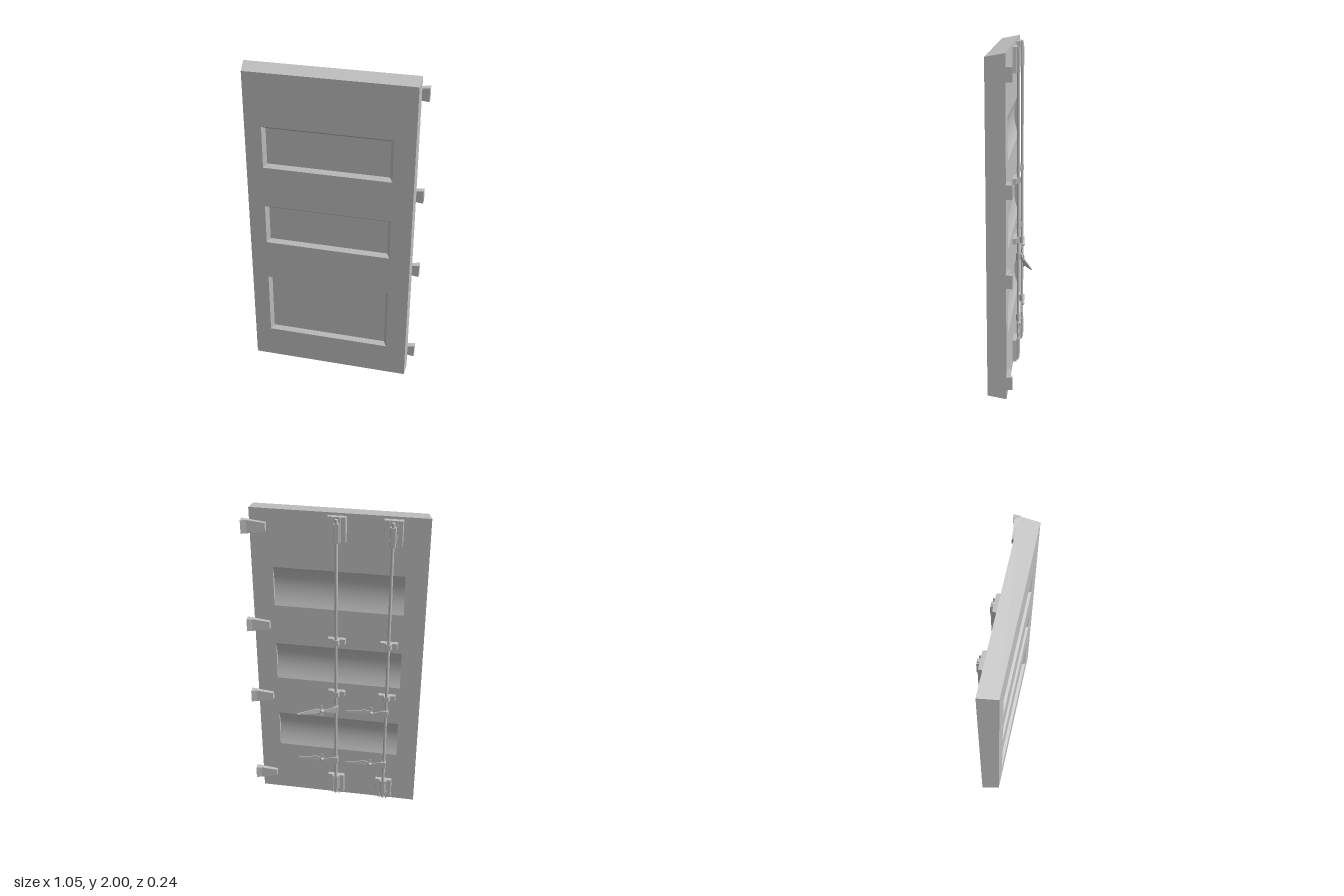
import * as THREE from 'three';

const steel = new THREE.MeshStandardMaterial({ color: 0xbfbfbf, side: THREE.DoubleSide });
steel.name = 'grey steel';

const FRONT = 0.116, BACK = 0.005;

function add(parent, name, geometry) {
  const mesh = new THREE.Mesh(geometry, steel);
  mesh.name = name;
  parent.add(mesh);
  return mesh;
}

// Corners of a rectangle at depth z, counter-clockwise seen from +z
const rect = (x0, x1, y0, y1, z) => [[x0, y0, z], [x1, y0, z], [x1, y1, z], [x0, y1, z]];

// Four flat faces joining rectangle a to rectangle b
function loft(a, b) {
  const pos = [];
  for (let i = 0; i < 4; i++) {
    const j = (i + 1) % 4;
    pos.push(...a[i], ...a[j], ...b[j], ...a[i], ...b[j], ...b[i]);
  }
  const g = new THREE.BufferGeometry();
  g.setAttribute('position', new THREE.Float32BufferAttribute(pos, 3));
  g.computeVertexNormals();
  return g;
}

const toShape = (pts) => new THREE.Shape(pts.map(([x, y]) => new THREE.Vector2(x, y)));

// Flat sheet with rectangular openings
function sheet(outer, holes, z) {
  const shape = toShape(outer);
  holes.forEach((h) => shape.holes.push(toShape(h)));
  return new THREE.ShapeGeometry(shape).translate(0, 0, z);
}

// Turn a sheet round so that its face points to -z
function flip(g) {
  const idx = g.index.array;
  for (let i = 0; i < idx.length; i += 3) [idx[i], idx[i + 1]] = [idx[i + 1], idx[i]];
  g.computeVertexNormals();
  return g;
}

// Extrude an (x, z) outline along y, from y0 up to y1
function upright(pts, y0, y1) {
  return new THREE.ExtrudeGeometry(toShape(pts), { depth: y1 - y0, bevelEnabled: false })
    .rotateX(Math.PI / 2).translate(0, y1, 0);
}

function buildPanel() {
  const panel = new THREE.Group();
  panel.name = 'doorPanel';
  const front = rect(-0.5, 0.48, 0.02, 1.98, FRONT);
  const back = rect(-0.523, 0.48, 0, 2, BACK);
  add(panel, 'panelEdges', loft(back, front));

  // Bevelled recesses on the front
  const recesses = [[0.225, 0.635], [0.89, 1.145], [1.4, 1.66]];
  const rims = recesses.map(([y0, y1]) => rect(-0.4, 0.357, y0, y1, FRONT));
  add(panel, 'frontFace', sheet(front, rims, FRONT));
  recesses.forEach(([y0, y1], i) => {
    const floor = rect(-0.382, 0.339, y0 + 0.018, y1 - 0.018, FRONT - 0.025);
    add(panel, 'recessBevel', loft(floor, rims[i]));
    add(panel, 'recessFloor', sheet(floor, [], FRONT - 0.025));
  });

  // Shallow curved troughs on the back
  const x0 = -0.398, x1 = 0.357, half = 0.125, depth = 0.025;
  const centres = [0.49, 1.01, 1.52];
  const curve = (y) => BACK + depth * (1 - (y / half) ** 2);
  add(panel, 'backFace', flip(sheet(back, centres.map((c) => rect(x0, x1, c - half, c + half, 0)), BACK)));
  for (const c of centres) {
    const trough = new THREE.PlaneGeometry(x1 - x0, half * 2, 1, 16);
    const p = trough.attributes.position;
    for (let i = 0; i < p.count; i++) p.setZ(i, curve(p.getY(i)));
    add(panel, 'trough', flip(trough)).position.set((x0 + x1) / 2, c, 0);
    const arc = [];
    for (let i = 0; i <= 16; i++) {
      const y = -half + (i / 16) * half * 2;
      arc.push([curve(y), y]);
    }
    for (const x of [x0, x1]) {
      const end = add(panel, 'troughEnd', new THREE.ShapeGeometry(toShape(arc)).rotateY(-Math.PI / 2));
      end.geometry.scale(1, 1, 1);
      end.position.set(x, c, 0);
    }
  }
  return panel;
}

// Wedge hinge, deeper and taller towards its outer end
function buildHinge(y) {
  const g = upright([[0.385, BACK], [0.388, -0.014], [0.49, -0.024], [0.522, -0.034], [0.522, BACK]], -0.04, 0.04);
  const p = g.attributes.position;
  for (let i = 0; i < p.count; i++) {
    const t = Math.min(1, (p.getX(i) - 0.385) / 0.105);
    p.setY(i, p.getY(i) * (0.6 + 0.4 * t));
  }
  g.computeVertexNormals();
  const group = new THREE.Group();
  group.name = 'hinge';
  add(group, 'hingeWedge', g);
  group.position.y = y;
  return group;
}

// Flat lever handle pivoting on the bar, reaching towards +x
function buildHandle(y, swing) {
  const handle = new THREE.Group();
  handle.name = 'handle';
  const plate = (pts) => new THREE.ExtrudeGeometry(toShape(pts), { depth: 0.005, bevelEnabled: false });
  const mirror = (half) => [...half, ...half.map(([x, v]) => [x, -v]).reverse()];
  add(handle, 'handleRoot', plate(mirror([[-0.012, 0.022], [0.025, 0.02], [0.07, 0.008], [0.095, 0.009]])))
    .position.z = -0.015;
  const grip = add(handle, 'handleGrip', plate(mirror([[0, 0.009], [0.035, 0.018], [0.155, 0.004]])));
  grip.position.set(0.09, 0, -0.007);
  grip.rotation.y = 0.09;
  add(handle, 'handleCross', plate(mirror([[0.078, 0.01], [0.086, 0.038], [0.094, 0.038], [0.102, 0.01]])))
    .position.z = -0.012;
  add(handle, 'handleBoss', new THREE.SphereGeometry(0.013, 12, 8)).position.set(0.09, 0, -0.011);
  add(handle, 'handleCollar', new THREE.CylinderGeometry(0.015, 0.015, 0.044, 12));
  handle.position.set(0, y, -0.027);
  handle.rotation.y = swing;
  return handle;
}

// Vertical bar with its end brackets, guides and two handles
function buildLockBar(x, swing) {
  const lock = new THREE.Group();
  lock.name = 'lockingBar';
  add(lock, 'bar', new THREE.CylinderGeometry(0.009, 0.009, 1.95, 12)).position.set(0, 1.0, -0.026);
  const bracket = [[-0.053, BACK], [-0.05, -0.018], [-0.02, -0.018], [-0.013, -0.036],
    [0.013, -0.036], [0.02, -0.018], [0.05, -0.018], [0.053, BACK]];
  const base = [[-0.053, BACK], [-0.05, -0.018], [0.05, -0.018], [0.053, BACK]];
  for (const [b0, b1, s0, s1] of [[0.02, 0.165, 0.055, 0.165], [1.835, 1.985, 1.835, 1.95]]) {
    add(lock, 'endBracket', upright(base, b0, b1));
    add(lock, 'bracketSaddle', upright(bracket.slice(2, 6), s0, s1));
    for (const s of [-1, 1]) {
      add(lock, 'bracketRib', new THREE.BoxGeometry(0.006, b1 - b0, 0.014))
        .position.set(s * 0.021, (b0 + b1) / 2, -0.022);
    }
  }
  for (const y of [0.82, 1.195]) add(lock, 'barGuide', upright(bracket, y - 0.018, y + 0.018));
  lock.add(buildHandle(0.712, swing), buildHandle(0.305, 0));
  lock.position.x = x;
  return lock;
}

export function createModel() {
  const model = new THREE.Group();
  model.name = 'containerDoor';
  model.add(buildPanel());
  for (const y of [0.125, 0.75, 1.265, 1.895]) model.add(buildHinge(y));
  model.add(buildLockBar(-0.322, 0), buildLockBar(-0.012, 0.32));
  return model;
}
